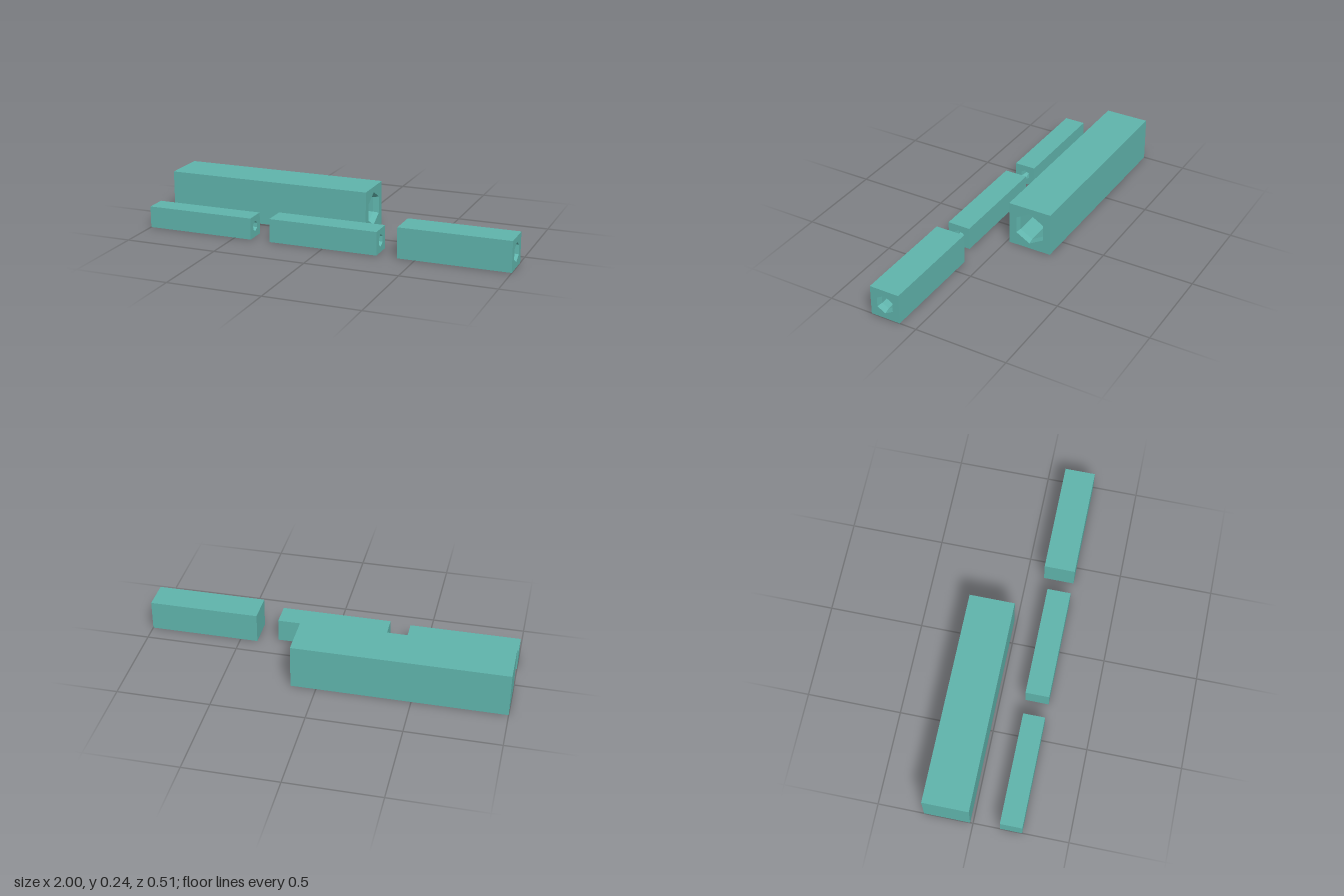
import * as THREE from 'three';

const WALL = 0.03;   // wall around the socket
const LIP = 0.01;    // how far the mouth narrows
const LIP_DEPTH = 0.03;

const material = new THREE.MeshStandardMaterial({ color: 0x5fb3ab, flatShading: true });
const insideMaterial = material.clone();
insideMaterial.side = THREE.BackSide;

function addMesh(group, name, geometry, x = 0, mat = material) {
  const mesh = new THREE.Mesh(geometry, mat);
  mesh.name = name;
  mesh.position.x = x;
  group.add(mesh);
}

// Open hexagonal tube along x, corners pointing up and down
function hexTube(rMouth, rInner, length) {
  return new THREE.CylinderGeometry(rMouth, rInner, length, 6, 1, true, Math.PI / 6)
    .rotateZ(-Math.PI / 2);
}

// Square bar with a blind hexagonal socket in its +x end
function socketBar(name, x0, x1, size, zFront) {
  const bar = new THREE.Group();
  bar.name = name;
  bar.position.set((x0 + x1) / 2, size / 2, zFront - size / 2);

  const length = x1 - x0;
  const end = length / 2;
  const rMouth = size / 2 - WALL;
  const rBore = rMouth - LIP;
  const boreLength = length - LIP_DEPTH - WALL;

  // Body: a box without its +x face
  const body = new THREE.BoxGeometry(length, size, size);
  body.setIndex(Array.from(body.index.array).slice(6));
  body.clearGroups();
  addMesh(bar, 'body', body);

  // End face with the hexagonal opening
  const h = size / 2;
  const face = new THREE.Shape([
    new THREE.Vector2(-h, -h), new THREE.Vector2(h, -h),
    new THREE.Vector2(h, h), new THREE.Vector2(-h, h),
  ]);
  const corners = [];
  for (let i = 0; i < 6; i++) {
    const a = Math.PI / 2 - i * Math.PI / 3;
    corners.push(new THREE.Vector2(rMouth * Math.cos(a), rMouth * Math.sin(a)));
  }
  face.holes.push(new THREE.Path(corners));
  addMesh(bar, 'endFace', new THREE.ShapeGeometry(face).rotateY(Math.PI / 2), end);

  // Tapered mouth, bore and floor of the socket
  addMesh(bar, 'socketMouth', hexTube(rMouth, rBore, LIP_DEPTH), end - LIP_DEPTH / 2, insideMaterial);
  addMesh(bar, 'socketBore', hexTube(rBore, rBore, boreLength),
    end - LIP_DEPTH - boreLength / 2, insideMaterial);
  addMesh(bar, 'socketFloor',
    new THREE.CircleGeometry(rBore, 6, Math.PI / 2).rotateY(Math.PI / 2), -end + WALL);
  return bar;
}

export function createModel() {
  const model = new THREE.Group();
  model.name = 'hexSocketBars';
  model.add(
    socketBar('largeBar', -1, 0.135, 0.242, -0.015),
    socketBar('smallBar', -1, -0.407, 0.116, 0.257),
    socketBar('middleBar', -0.298, 0.296, 0.126, 0.257),
    socketBar('mediumBar', 0.406, 1, 0.164, 0.257),
  );
  return model;
}
